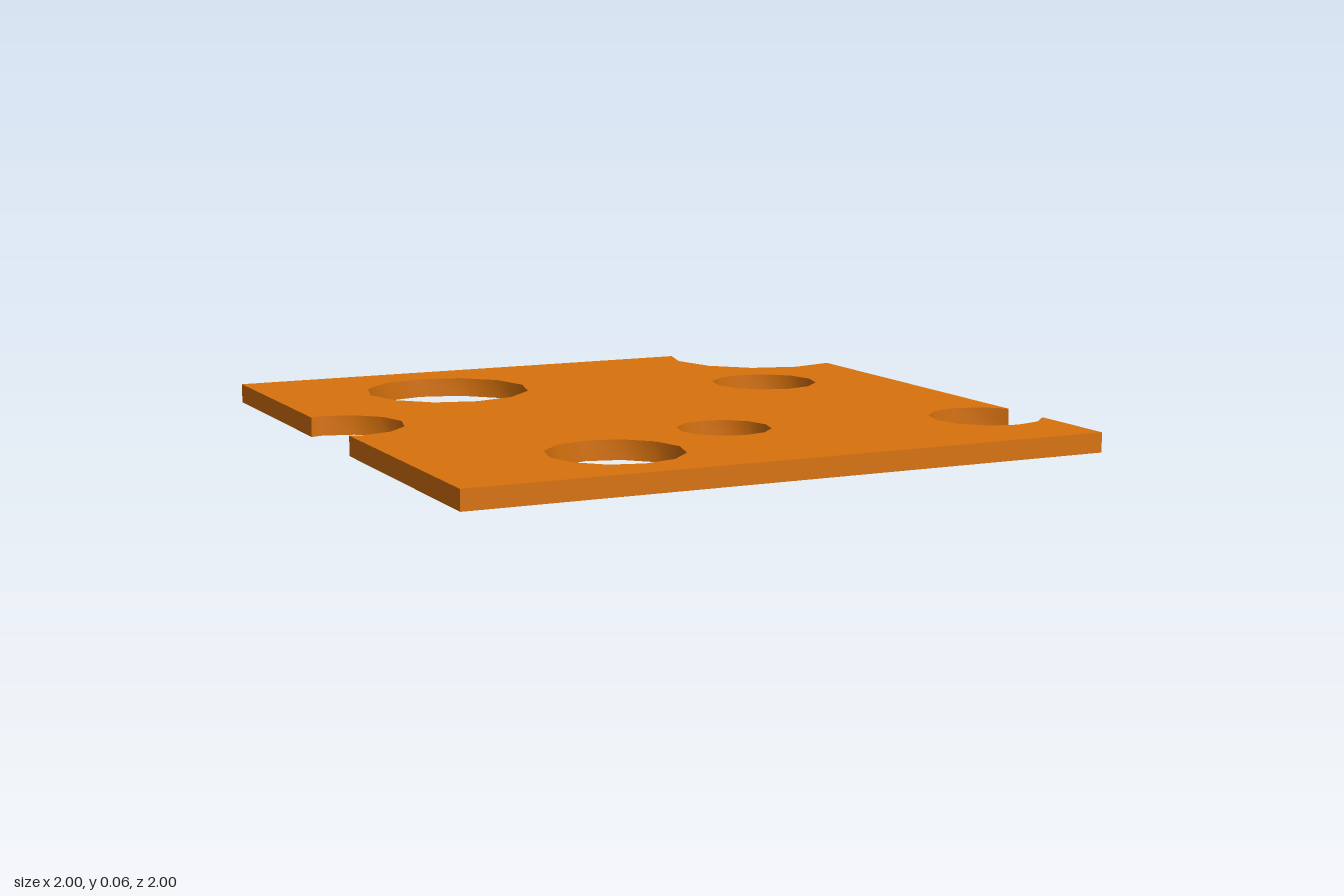
import * as THREE from 'three';
import { toCreasedNormals } from 'three/addons/utils/BufferGeometryUtils.js';

const THICKNESS = 0.06;

// Points on a twelve-sided circle, from one angle to another in 30 degree steps
function arc(cx, cz, r, fromDeg, toDeg) {
  const step = Math.sign(toDeg - fromDeg) * 30;
  const count = Math.abs(toDeg - fromDeg) / 30;
  return Array.from({ length: count + 1 }, (_, i) => {
    const a = THREE.MathUtils.degToRad(fromDeg + i * step);
    return new THREE.Vector2(cx + r * Math.cos(a), cz + r * Math.sin(a));
  });
}

export function createModel() {
  const group = new THREE.Group();
  group.name = 'cheeseSlice';
  const p = (x, z) => new THREE.Vector2(x, z);

  // Square outline (x, z) with bites where holes cross the edges
  const outline = new THREE.Shape([
    p(-1, -1),
    p(0.584, -1), ...arc(0.855, -0.875, 0.305, 180, 90), p(1, -0.609), // corner bite
    p(1, 0.52), ...arc(0.855, 0.61, 0.172, -60, -300), p(1, 0.7), // right edge bite
    p(1, 1),
    p(-1, 1),
    p(-1, 0.112), ...arc(-0.965, -0.067, 0.19, 90, -90), p(-1, -0.247), // left edge bite
  ]);

  // Full holes: centre x, centre z, radius
  const holes = [
    [-0.43, -0.59, 0.263],
    [0.585, -0.305, 0.172],
    [0.042, 0.455, 0.14],
    [-0.415, 0.68, 0.2],
  ];
  for (const [x, z, r] of holes) outline.holes.push(new THREE.Path(arc(x, z, r, 330, 0)));

  // Lay the extrusion flat, so the shape's y becomes z, and smooth the hole walls
  const geometry = new THREE.ExtrudeGeometry(outline, { depth: THICKNESS, bevelEnabled: false });
  geometry.rotateX(Math.PI / 2).translate(0, THICKNESS, 0);

  const cheeseOrange = new THREE.MeshStandardMaterial({ color: 0xd9730d });
  cheeseOrange.name = 'cheeseOrange';
  const slice = new THREE.Mesh(toCreasedNormals(geometry, 0.7), cheeseOrange);
  slice.name = 'slice';
  group.add(slice);
  return group;
}
